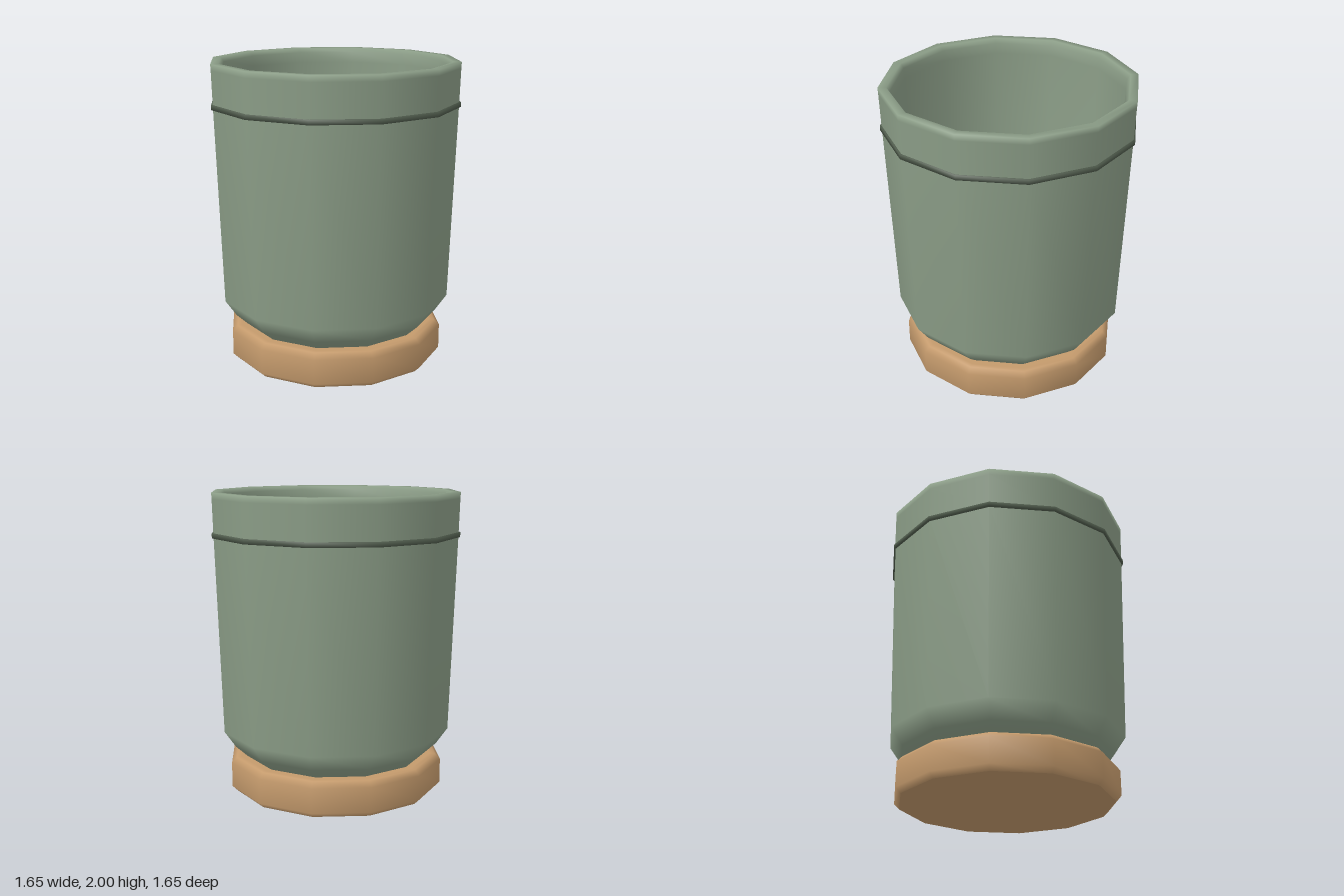
import * as THREE from 'three';

const SIDES = 12;

// Turned part from [radius, height] pairs, listed from the bottom up the outside
function turned(name, color, profile) {
  const points = profile.map(([r, y]) => new THREE.Vector2(r, y));
  const mesh = new THREE.Mesh(
    new THREE.LatheGeometry(points, SIDES),
    new THREE.MeshStandardMaterial({ color })
  );
  mesh.name = name;
  return mesh;
}

export function createModel() {
  const model = new THREE.Group();
  model.name = 'plantPot';
  const green = 0x8b9d87, darkGreen = 0x4f5b4c, clay = 0xc49a6c;

  // Hollow pot: chamfered foot, tapered wall, thick rim, inner wall and floor
  model.add(turned('pot', green, [
    [0, 0.22], [0.6, 0.22], [0.625, 0.24], [0.7, 0.31], [0.775, 0.42],
    [0.815, 1.73], [0.821, 1.96], [0.823, 2], [0.77, 2], [0.75, 1.97],
    [0.745, 1.9], [0.71, 0.45], [0.6, 0.32], [0, 0.32],
  ]));

  // Thin dark band below the rim
  model.add(turned('band', darkGreen, [
    [0.8, 1.71], [0.826, 1.712], [0.826, 1.743], [0.8, 1.745],
  ]));

  // Saucer with bevelled edges, and its flat underside
  const saucer = new THREE.Group();
  saucer.name = 'saucer';
  saucer.add(
    turned('saucerBody', clay, [
      [0.695, 0], [0.73, 0.035], [0.73, 0.2], [0.695, 0.236], [0.66, 0.236], [0, 0.236],
    ]),
    turned('saucerBase', clay, [[0, 0], [0.695, 0]])
  );
  model.add(saucer);

  return model;
}
